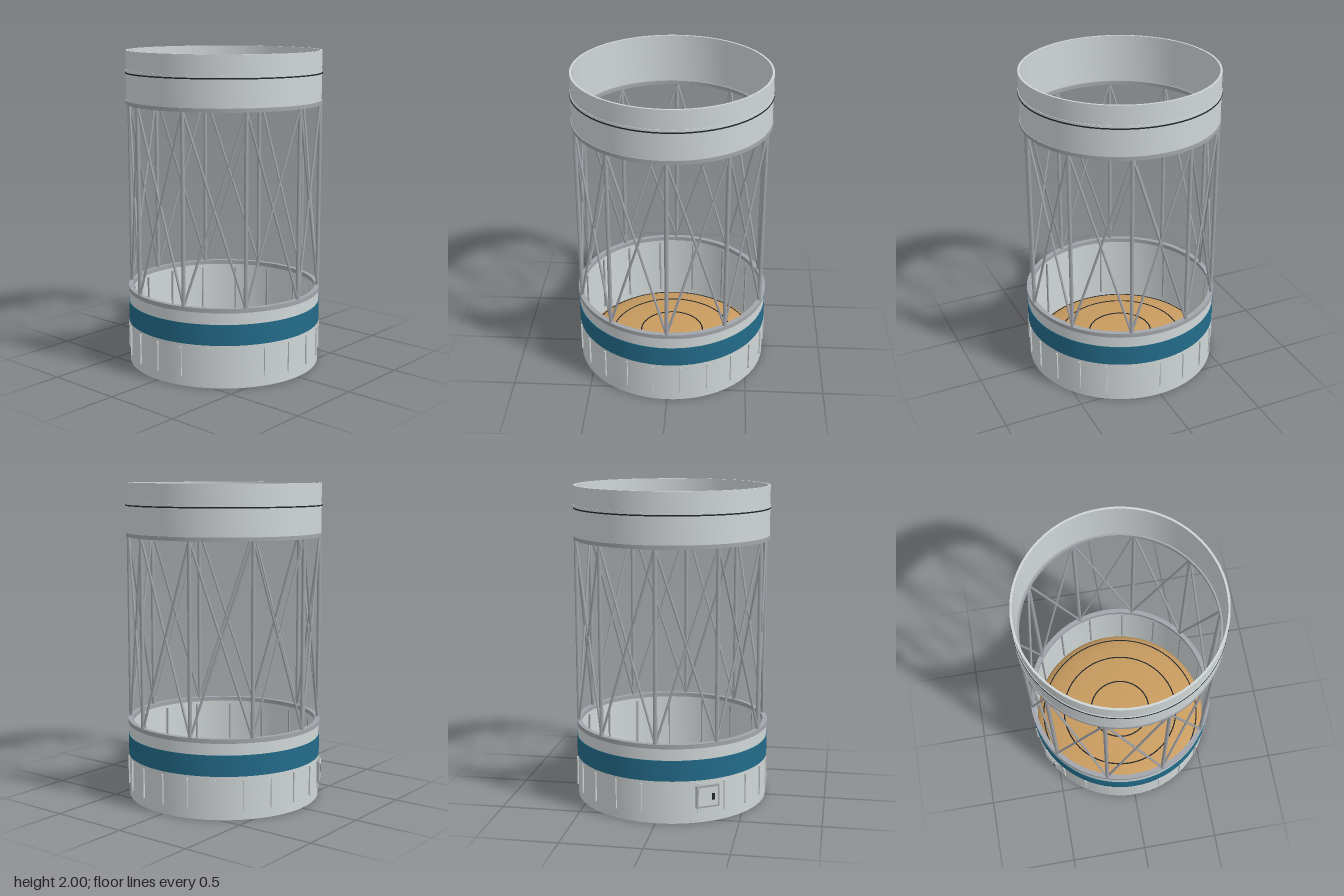
import * as THREE from 'three';
import { toCreasedNormals } from 'three/addons/utils/BufferGeometryUtils.js';

const mat = (name, color, side = THREE.FrontSide) => {
  const m = new THREE.MeshStandardMaterial({ color, side });
  m.name = name;
  return m;
};

export function createModel() {
  const model = new THREE.Group();
  model.name = 'trussSection';
  const shell = mat('light grey shell', 0xd0d6d6);
  const metal = mat('strut grey', 0xa2a5ab);
  const teal = mat('teal band', 0x236b89);
  const tan = mat('tan dome', 0xc99c60, THREE.DoubleSide);
  const dark = mat('dark seam', 0x20262c);

  const add = (name, geo, material, parent = model) => {
    const mesh = new THREE.Mesh(geo, material);
    mesh.name = name;
    parent.add(mesh);
    return mesh;
  };
  const group = (name) => {
    const g = new THREE.Group();
    g.name = name;
    model.add(g);
    return g;
  };

  // Hollow ring with a rectangular section
  const ring = (name, rIn, rOut, y0, y1, material) => {
    const profile = [[rOut, y0], [rOut, y1], [rIn, y1], [rIn, y0], [rOut, y0]]
      .map(([r, y]) => new THREE.Vector2(r, y));
    return add(name, toCreasedNormals(new THREE.LatheGeometry(profile, 72), 0.6), material);
  };
  // Point on a circle, angle measured from the front (+z) towards +x
  const polar = (deg, r, y) => {
    const a = THREE.MathUtils.degToRad(deg);
    return new THREE.Vector3(Math.sin(a) * r, y, Math.cos(a) * r);
  };
  // Round bar between two points
  const bar = (name, a, b, r, parent) => {
    const d = b.clone().sub(a);
    const mesh = add(name, new THREE.CylinderGeometry(r, r, d.length(), 8), metal, parent);
    mesh.position.copy(a).add(b).multiplyScalar(0.5);
    mesh.quaternion.setFromUnitVectors(new THREE.Vector3(0, 1, 0), d.normalize());
  };
  // Box facing outwards on the wall
  const wallBox = (name, deg, r, y, size, material, parent) => {
    const mesh = add(name, new THREE.BoxGeometry(...size), material, parent);
    mesh.position.copy(polar(deg, r, y));
    mesh.rotation.y = THREE.MathUtils.degToRad(deg);
    return mesh;
  };

  // Lower and upper barrels
  ring('lowerBarrel', 0.6, 0.613, 0, 0.475, shell);
  ring('lowerFlange', 0.588, 0.618, 0.473, 0.5, metal);
  ring('tealBand', 0.611, 0.617, 0.27, 0.4, teal);
  ring('upperBarrel', 0.6, 0.613, 1.69, 2, shell);
  ring('upperFlange', 0.588, 0.618, 1.668, 1.692, metal);
  ring('separationBead', 0.61, 0.616, 1.845, 1.88, shell);
  ring('separationSeam', 0.612, 0.618, 1.858, 1.866, dark);

  // Truss: ten uprights with crossed diagonals between them
  const truss = group('truss');
  for (let i = 0; i < 10; i++) {
    const a = 18 + i * 36, b = a + 36, r = 0.605;
    bar('upright', polar(a, r, 0.49), polar(a, r, 1.68), 0.0125, truss);
    bar('diagonal', polar(a, r, 0.495), polar(b, r, 1.675), 0.0075, truss);
    bar('diagonal', polar(b, r, 0.495), polar(a, r, 1.675), 0.0075, truss);
  }

  // Outer ribs and inner stringers of the lower barrel
  const ribs = group('outerRibs');
  for (let i = 0; i < 22; i++)
    wallBox('rib', i * 360 / 22, 0.615, 0.155, [0.01, 0.19, 0.014], shell, ribs);
  const stringers = group('innerStringers');
  for (let i = 0; i < 16; i++)
    wallBox('stringer', 11.25 + i * 22.5, 0.597, 0.255, [0.01, 0.39, 0.014], metal, stringers);

  // Shallow elliptical dome with ring seams
  const domeY = (r) => 0.005 + 0.115 * Math.sqrt(Math.max(0, 1 - (r / 0.601) ** 2));
  const domeProfile = [];
  for (let i = 0; i <= 20; i++) {
    const r = 0.601 * Math.cos((i / 20) * Math.PI / 2);
    domeProfile.push(new THREE.Vector2(Math.max(r, 0), domeY(r)));
  }
  add('dome', new THREE.LatheGeometry(domeProfile, 72), tan);
  for (const r of [0.208, 0.404, 0.553]) {
    const seam = add('domeSeam', new THREE.TorusGeometry(r, 0.0045, 6, 72), dark);
    seam.rotation.x = Math.PI / 2;
    seam.position.y = domeY(r);
  }

  // Access hatch
  const hatch = group('accessHatch');
  wallBox('hatchFrame', -60, 0.613, 0.165, [0.15, 0.14, 0.024], metal, hatch);
  wallBox('hatchDoor', -60, 0.617, 0.165, [0.126, 0.116, 0.024], shell, hatch);
  wallBox('hatchHandle', -57, 0.628, 0.163, [0.018, 0.042, 0.008], dark, hatch);

  return model;
}
